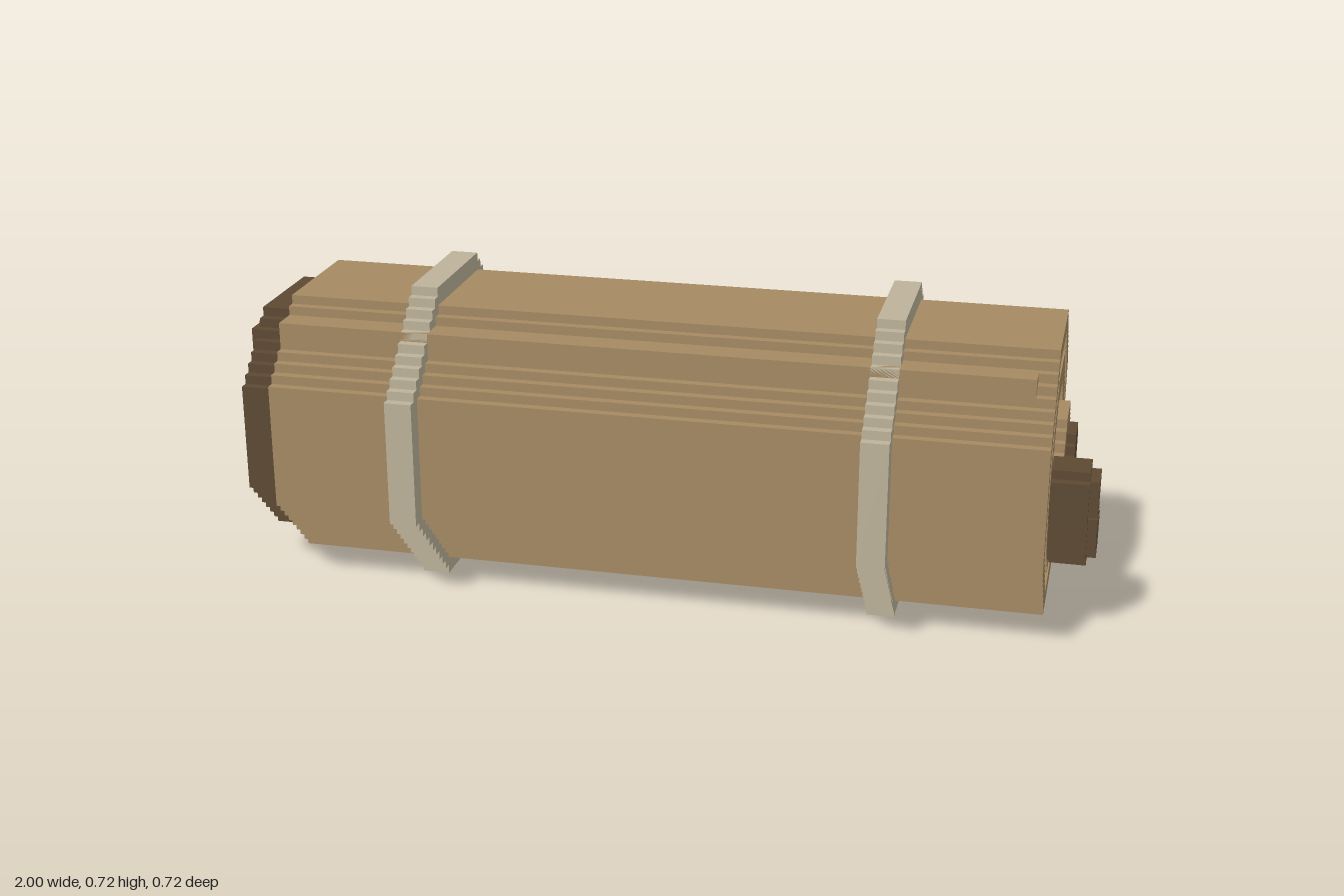
import * as THREE from 'three';

const U = 2 / 95; // size of one block

const mat = (name, color) => {
  const m = new THREE.MeshStandardMaterial({ color });
  m.name = name;
  return m;
};

// Stepped octagon outline: r = half height, s = sum of coordinates on the diagonal
function octagon(r, s) {
  const quarter = [];
  for (let k = r; k >= s - r; k--) {
    quarter.push([k, s - k]);
    if (k > s - r) quarter.push([k - 1, s - k]);
  }
  const pts = [];
  for (let q = 0; q < 4; q++) {
    for (const [x, y] of quarter) {
      const [a, b] = [[x, y], [-y, x], [-x, -y], [y, -x]][q];
      pts.push(new THREE.Vector2(a, b));
    }
  }
  return pts;
}

export function createModel() {
  const cloth = mat('tan cloth', 0xa58a63);
  const lining = mat('dark brown lining', 0x5d4933);
  const strapMat = mat('pale strap', 0xbdb39a);

  const model = new THREE.Group();
  model.name = 'bedroll';
  const roll = new THREE.Group();
  roll.name = 'rolledBody';
  roll.scale.setScalar(U);
  roll.position.set(-1, 17 * U, 0);
  model.add(roll);

  const add = (name, geometry, material, parent = roll) => {
    const mesh = new THREE.Mesh(geometry, material);
    mesh.name = name;
    parent.add(mesh);
    return mesh;
  };

  // Octagonal slab or ring running along x
  function slab(name, outer, inner, x0, x1, material) {
    const shape = new THREE.Shape(octagon(...outer));
    if (inner) shape.holes.push(new THREE.Path(octagon(...inner)));
    const geo = new THREE.ExtrudeGeometry(shape, { depth: x1 - x0, bevelEnabled: false });
    geo.rotateY(Math.PI / 2).translate(x0, 0, 0);
    return add(name, geo, material);
  }

  function block(name, x0, x1, y0, y1, z0, z1, material, parent = roll) {
    const geo = new THREE.BoxGeometry(x1 - x0, y1 - y0, z1 - z0);
    geo.translate((x0 + x1) / 2, (y0 + y1) / 2, (z0 + z1) / 2);
    return add(name, geo, material, parent);
  }

  // Blocky ball, six blocks across
  function ball(name, x, y, z) {
    const group = new THREE.Group();
    group.name = name;
    group.position.set(x, y, z);
    roll.add(group);
    for (const [a, b, c] of [[3, 2, 2], [2, 3, 2], [2, 2, 3]]) {
      block(name + 'Part', -a, a, -b, b, -c, c, lining, group);
    }
  }

  // Octagon sizes from the outside in
  const STRAP = [17, 24], BODY = [15, 22], R13 = [13, 19], R11 = [11, 16];
  const R8 = [8, 12], R6 = [6, 9], R4 = [4, 6];

  // Main roll and its straps
  slab('body', BODY, null, 6, 88, cloth);
  slab('strap', STRAP, BODY, 20, 23, strapMat);
  slab('strap', STRAP, BODY, 71, 74, strapMat);

  // Loose edge of the cloth along the upper front
  block('clothEdge', 6, 88, 11, 13, 9, 11, cloth);

  // Spiral on the left end: layers with dark grooves between
  slab('grooveFloor', R13, null, 88, 88.2, lining);
  slab('outerLayer', BODY, R13, 88, 90, cloth);
  slab('middleLayer', R11, R8, 88, 90, cloth);
  slab('innerLayer', R6, null, 88, 91, cloth);
  slab('core', R4, null, 91, 92, lining);
  block('layerJoin', 88, 89.5, 11, 13, -1, 6, cloth);
  block('layerJoin', 88, 89.5, 11, 12, 6, 7, cloth);
  block('layerJoin', 88, 89.5, 10, 11, 5, 8, cloth);

  // Dark lining showing at the right end
  slab('liningBase', R13, null, 4, 6, lining);
  slab('liningOuterLayer', R13, R11, 2, 4, lining);
  slab('liningMiddleLayer', R8, R6, 2, 4, lining);
  slab('liningCore', R4, null, 2, 4, lining);

  // Clustered balls on both ends
  ball('leftBall', 92, 0, 8);
  ball('leftBall', 92, -5, 6);
  ball('leftBall', 92, -8, 0);
  ball('rightBall', 3, 8, 3);
  ball('rightBall', 3, 2, -7);
  ball('rightBall', 4, -1, -2);

  return model;
}
